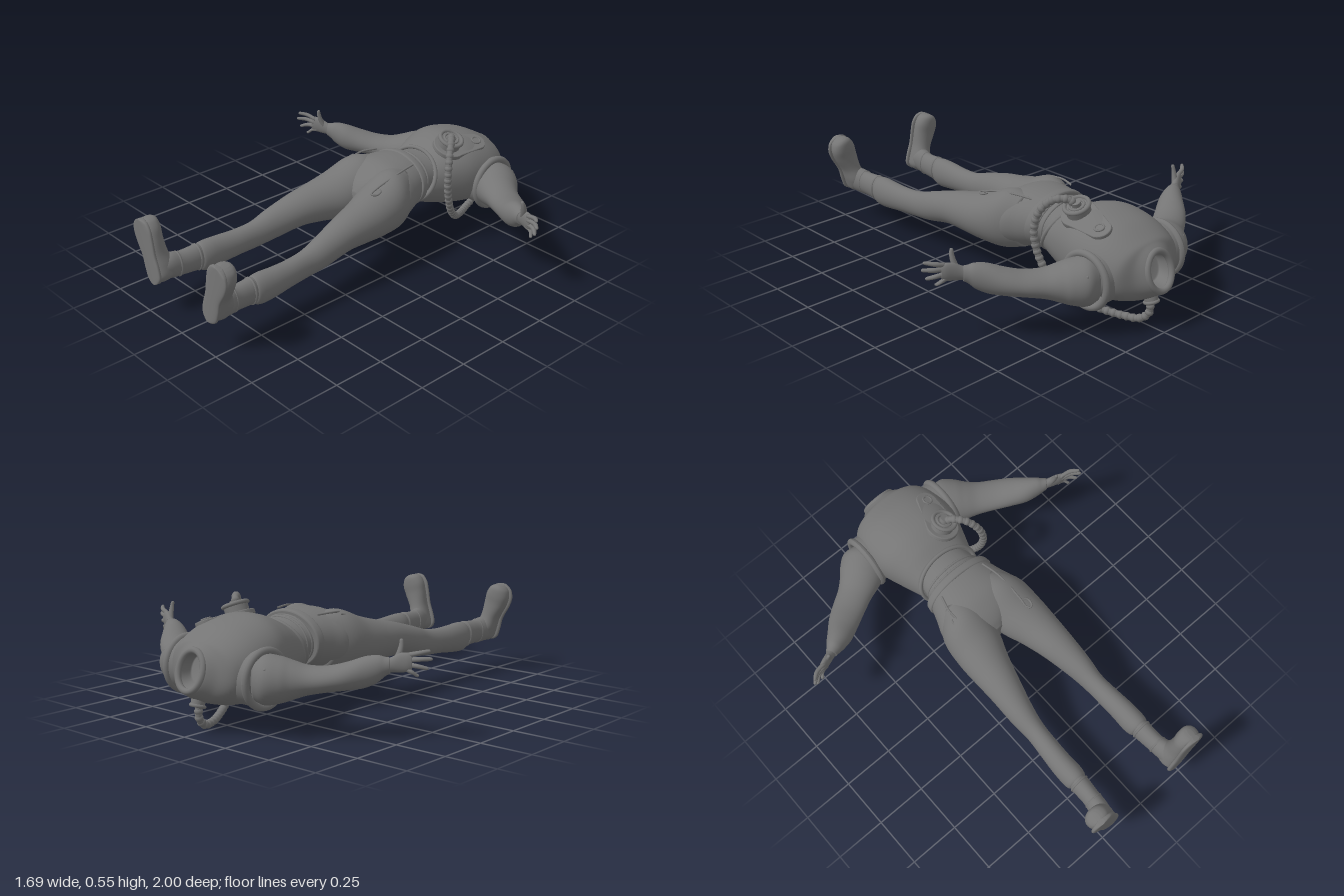
import * as THREE from 'three';
import { mergeGeometries } from 'three/addons/utils/BufferGeometryUtils.js';

const V = (x, y, z) => new THREE.Vector3(x, y, z);
const X = V(1, 0, 0), Y = V(0, 1, 0), Z = V(0, 0, 1);

// Smooth skin over rows of [x, y, z, halfU, halfV, tilt along z]; n squares the section
function loft(rows, u = X, v = Y, { n = 2, sides = 40, steps = 6 } = {}) {
  const path = new THREE.CatmullRomCurve3(rows.map(r => V(r[0], r[1], r[2])), false, 'catmullrom');
  const size = new THREE.CatmullRomCurve3(rows.map(r => V(r[3], r[4], r[5] || 0)), false, 'catmullrom');
  const count = (rows.length - 1) * steps, pos = [], index = [];
  const power = c => Math.sign(c) * Math.abs(c) ** (2 / n);
  for (let i = -1; i <= count + 1; i++) {
    const t = Math.min(Math.max(i / count, 0), 1), p = path.getPoint(t), s = size.getPoint(t);
    const k = i < 0 || i > count ? 0 : 1; // closed ends
    for (let j = 0; j < sides; j++) {
      const a = j / sides * Math.PI * 2, c = power(Math.cos(a)) * k, d = power(Math.sin(a)) * k;
      const q = p.clone().addScaledVector(u, c * Math.max(s.x, 0)).addScaledVector(v, d * Math.max(s.y, 0));
      pos.push(q.x, q.y, q.z + d * s.z);
    }
  }
  const along = path.getPoint(1).sub(path.getPoint(0));
  const forward = u.clone().cross(v).dot(along) > 0;
  for (let i = 0; i < count + 2; i++) for (let j = 0; j < sides; j++) {
    const a = i * sides + j, b = i * sides + (j + 1) % sides, c = b + sides, d = a + sides;
    if (forward) index.push(a, b, c, a, c, d); else index.push(a, c, b, a, d, c);
  }
  const g = new THREE.BufferGeometry();
  g.setAttribute('position', new THREE.Float32BufferAttribute(pos, 3));
  g.setIndex(index);
  g.computeVertexNormals();
  return g;
}

// Copy reflected in x, with its faces turned back outwards
function mirror(g) {
  const m = g.clone().scale(-1, 1, 1), ix = m.index.array;
  for (let i = 0; i < ix.length; i += 3) [ix[i], ix[i + 1]] = [ix[i + 1], ix[i]];
  m.computeVertexNormals();
  return m;
}

const tube = (pts, r, closed = false, segs = 48) =>
  new THREE.TubeGeometry(new THREE.CatmullRomCurve3(pts.map(p => V(...p)), closed), segs, r, 10, closed);

// Raised band around a section that runs across z
function band(x, y, z, rx, ry, tilt, r) {
  const pts = [];
  for (let i = 0; i < 24; i++) {
    const a = i / 24 * Math.PI * 2;
    pts.push([x + rx * Math.cos(a), y + ry * Math.sin(a), z + tilt * Math.sin(a)]);
  }
  return tube(pts, r, true, 72);
}

export function createModel() {
  const model = new THREE.Group();
  const color = 0x757575;
  const mat = new THREE.MeshStandardMaterial({ color });
  const open = new THREE.MeshStandardMaterial({ color, side: THREE.DoubleSide });
  const add = (name, g, parent = model, m = mat) => {
    const mesh = new THREE.Mesh(g, m);
    mesh.name = name;
    parent.add(mesh);
  };
  const pair = (name, g, m = mat) => {
    add(name + 'Left', g, model, m);
    add(name + 'Right', mirror(g), model, m);
  };

  // Rigid breastplate with a hollow neck
  add('breastplate', loft([
    [0, .28, -.89, .06, .06, .02], [0, .282, -.953, .068, .075, .025], [0, .282, -.958, .083, .09, .025],
    [0, .275, -.925, .125, .118, .015], [0, .272, -.88, .2, .142, 0], [0, .285, -.78, .237, .178, 0],
    [0, .302, -.65, .237, .188, 0], [0, .312, -.53, .2, .163, -.025], [0, .32, -.415, .158, .118, -.06],
  ], X, Y, { n: 2.2, sides: 56, steps: 7 }));
  add('neckRing', band(0, .283, -.956, .075, .085, .026, .015));
  add('breastplateRim', band(0, .32, -.415, .161, .12, -.06, .01));

  // Armhole collars, rims and shoulder buttons
  pair('armholeCollar', new THREE.CylinderGeometry(.125, .125, .13, 40, 1, true)
    .rotateZ(Math.PI / 2).translate(.185, .25, -.755), open);
  pair('armholeRim', new THREE.TorusGeometry(.122, .017, 12, 48).rotateY(Math.PI / 2).translate(.245, .25, -.755));
  pair('shoulderButton', mergeGeometries([[.31, .31, -.825], [.335, .27, -.81], [.36, .3, -.765]].map(p =>
    new THREE.SphereGeometry(.008, 12, 8).translate(...p))));

  // Waist folds and belt
  add('waist', loft([
    [0, .325, -.47, .14, .1, -.04], [0, .325, -.40, .148, .11, -.02], [0, .33, -.35, .158, .12, 0],
    [0, .33, -.30, .17, .125, 0],
  ]));
  for (const [z, r] of [[-.385, .148], [-.36, .154]]) add('waistFold', band(0, .328, z, r, r * .75, -.012, .006));
  add('belt', loft([
    [0, .33, -.352, .178, .128, -.012], [0, .332, -.345, .186, .135, -.012],
    [0, .332, -.318, .19, .138, -.012], [0, .332, -.31, .182, .132, -.012],
  ]));

  // Trousers
  add('hips', loft([
    [0, .332, -.33, .176, .13, -.01], [0, .325, -.26, .2, .142, 0], [0, .315, -.18, .226, .146, 0],
    [0, .308, -.11, .19, .122, 0], [0, .3, -.06, .1, .09, 0], [0, .295, -.03, .03, .05, 0],
  ], X, Y, { n: 2.15, sides: 48 }));
  pair('trouserLeg', loft([
    [.10, .32, -.25, .09, .125], [.115, .312, -.15, .127, .146], [.13, .29, -.03, .125, .122],
    [.150, .28, .08, .104, .1], [.166, .27, .2, .084, .084], [.182, .238, .34, .064, .076],
    [.186, .217, .44, .051, .066], [.192, .21, .54, .052, .064], [.197, .207, .63, .055, .07],
    [.197, .206, .7, .057, .075], [.198, .208, .74, .052, .07], [.198, .212, .755, .04, .055],
  ]));
  // Trouser cords with a small end loop
  add('cordLeft', tube([[.125, .452, -.3], [.145, .453, -.2], [.15, .425, -.05], [.15, .41, -.01],
    [.165, .41, .008], [.18, .408, -.01], [.178, .413, -.035], [.165, .418, -.045]], .005));
  add('cordRight', tube([[-.13, .45, -.3], [-.15, .453, -.22], [-.15, .447, -.16], [-.16, .44, -.145],
    [-.172, .438, -.16], [-.168, .443, -.18]], .005));

  // Boots: shaft, cuff, strap, foot and sole
  pair('bootShaft', loft([
    [.198, .212, .73, .04, .058], [.199, .214, .76, .046, .064], [.2, .214, .8, .045, .062],
    [.203, .215, .85, .043, .06], [.21, .22, .9, .047, .064], [.216, .22, .95, .046, .05],
  ]));
  pair('bootCuff', band(.199, .213, .762, .044, .061, 0, .007));
  pair('ankleStrap', band(.204, .216, .865, .041, .058, 0, .006));
  const across = V(.96, -.27, 0), foot = [
    [.2, .16, .945, .012, .022], [.202, .168, .945, .03, .038], [.208, .19, .94, .046, .056],
    [.221, .235, .937, .049, .06], [.238, .29, .947, .047, .05], [.262, .355, .951, .059, .045],
    [.276, .4, .951, .062, .046], [.285, .433, .952, .05, .044], [.289, .449, .953, .032, .036],
    [.291, .456, .954, .012, .022],
  ];
  pair('foot', loft(foot, across, Z, { n: 2.2 }));
  pair('sole', loft(foot.map(r => [r[0], r[1], .986, r[3] * 1.05 + .002, .013]), across, Z, { n: 2.8 }));

  // Sleeves, puffed at the shoulder and full at the forearm
  const side = V(-.57, 0, .82);
  pair('sleeve', loft([
    [.2, .25, -.775, .09, .095], [.25, .25, -.757, .114, .11], [.305, .25, -.72, .109, .1],
    [.345, .25, -.69, .097, .084], [.4, .252, -.655, .084, .064], [.47, .26, -.612, .079, .056],
    [.535, .274, -.567, .073, .06], [.595, .292, -.519, .06, .067], [.64, .308, -.49, .045, .058],
    [.665, .318, -.474, .034, .042], [.685, .324, -.463, .026, .034],
  ], side, Y));

  // Hands: flat palm, tapered fingers and a raised thumb
  pair('palm', loft([
    [.665, .318, -.473, .024, .032], [.69, .328, -.46, .021, .033], [.72, .338, -.446, .019, .041],
    [.75, .342, -.433, .017, .041], [.77, .342, -.425, .011, .032],
  ], side, Y, { sides: 24 }));
  const fingers = [[.757, .371, .835, .392], [.762, .351, .843, .36], [.758, .331, .828, .32], [.748, .313, .793, .288]];
  pair('fingers', mergeGeometries(fingers.map(([x0, y0, x1, y1]) => {
    const z = x => -.43 + (x - .755) * .5, xm = (x0 + x1) / 2;
    return loft([
      [x0 - .01, y0, z(x0), .011, .011], [xm, (y0 + y1) / 2 + .003, z(xm) - .006, .011, .01],
      [x1 - .008, y1, z(x1), .008, .008], [x1, y1, z(x1) + .005, .003, .003],
    ], side, Y, { sides: 12, steps: 4 });
  })));
  pair('thumb', loft([
    [.7, .34, -.452, .014, .016], [.712, .375, -.438, .014, .013], [.715, .408, -.428, .011, .01],
    [.713, .43, -.424, .008, .008], [.712, .436, -.424, .003, .003],
  ], X, Z, { sides: 12, steps: 4 }));

  // Chest plate with a gauge and a valve, tilted to follow the chest
  const panel = new THREE.Group();
  panel.name = 'chestPanel';
  panel.position.set(.11, .456, -.63);
  panel.rotation.set(0, 0, -.4);
  model.add(panel);
  const outline = new THREE.Shape();
  outline.absarc(.03, .1, .048, -.1, Math.PI * .8, false);
  outline.absarc(-.005, -.055, .078, Math.PI * .9, Math.PI * 2.05, false);
  add('plate', new THREE.ExtrudeGeometry(outline, {
    depth: .015, bevelSize: .005, bevelThickness: .005, bevelSegments: 3, curveSegments: 24,
  }).rotateX(-Math.PI / 2).translate(0, -.012, 0), panel);
  const disc = (name, r, h, x, y, z) => add(name, new THREE.CylinderGeometry(r, r, h, 36).translate(x, y, z), panel);
  const rim = (name, r, t, x, y, z) =>
    add(name, new THREE.TorusGeometry(r, t, 10, 40).rotateX(Math.PI / 2).translate(x, y, z), panel);
  disc('valveBody', .056, .05, -.01, .024, .058);
  rim('valveRim', .056, .01, -.01, .048, .058);
  rim('valveInnerRim', .034, .006, -.01, .049, .058);
  disc('valveOutlet', .022, .03, -.01, .053, .058);
  disc('gauge', .021, .02, .03, .004, -.1);
  rim('gaugeRim', .021, .005, .03, .013, -.1);

  // Beaded hose from the chest valve, round the left side to the back
  const hose = new THREE.CatmullRomCurve3([
    [.118, .5, -.572], [.145, .53, -.545], [.19, .525, -.495], [.225, .472, -.45], [.24, .39, -.43],
    [.235, .29, -.44], [.215, .19, -.48], [.18, .115, -.545], [.135, .065, -.62], [.085, .035, -.71],
    [.04, .022, -.8], [.015, .028, -.87], [.002, .065, -.91], [0, .13, -.915],
  ].map(p => V(...p)));
  add('hose', new THREE.TubeGeometry(hose, 120, .016, 12));
  const beads = [];
  for (let i = 0; i <= 36; i++) {
    const turn = new THREE.Quaternion().setFromUnitVectors(Y, hose.getTangentAt(i / 36));
    const p = hose.getPointAt(i / 36);
    beads.push(new THREE.SphereGeometry(.0195, 14, 10).scale(1, .9, 1).applyQuaternion(turn).translate(p.x, p.y, p.z));
  }
  add('hoseRibs', mergeGeometries(beads));

  // Hose fitting on the back
  add('backFitting', new THREE.CylinderGeometry(.034, .03, .05, 28).rotateX(.3).translate(0, .145, -.915));
  add('backFittingRim', new THREE.TorusGeometry(.03, .008, 10, 32).rotateX(Math.PI / 2 + .3).translate(0, .124, -.92));

  return model;
}
